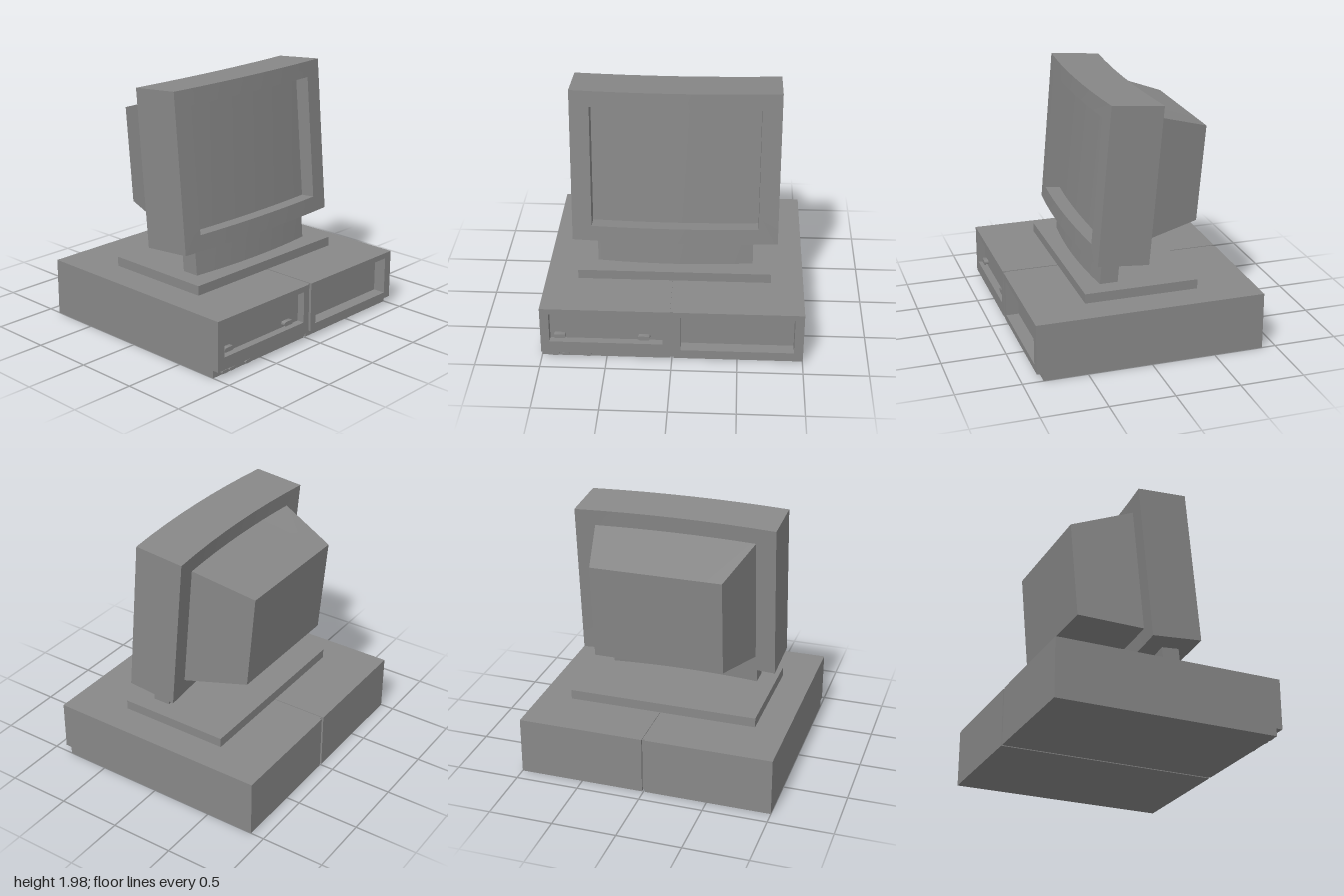
import * as THREE from 'three';
import { toCreasedNormals } from 'three/addons/utils/BufferGeometryUtils.js';

const grey = new THREE.MeshStandardMaterial({ color: 0x888888 });
const STEPS = 8;       // subdivisions across each curved face
const CURVE = 0.065;   // front-to-back sweep of the curved parts

function addMesh(parent, name, geometry, x = 0, y = 0, z = 0) {
  const mesh = new THREE.Mesh(geometry, grey);
  mesh.name = name;
  mesh.position.set(x, y, z);
  parent.add(mesh);
  return mesh;
}

// Lofts through rectangles [x0, x1, y0, y1, z, bend], starting from the back.
function loft(rings, startCap = true, endCap = true) {
  const pos = [];
  const corners = ([x0, x1, y0, y1, z, bend = 0]) =>
    [[x0, y0], [x1, y0], [x1, y1], [x0, y1]].map(([x, y]) => [x, y, z, bend]);
  const mix = (a, b, t) => a.map((v, i) => v + (b[i] - v) * t);
  const put = (p) => pos.push(p[0], p[1], p[2] - p[3] * CURVE * p[0] * p[0]);
  const quad = (a, b, c, d) => {
    const n = a[3] || c[3] ? STEPS : 1;
    for (let i = 0; i < n; i++) {
      const p = mix(a, b, i / n), q = mix(a, b, (i + 1) / n);
      const r = mix(d, c, (i + 1) / n), s = mix(d, c, i / n);
      [p, q, r, p, r, s].forEach(put);
    }
  };
  const loops = rings.map(corners);
  for (let k = 0; k + 1 < loops.length; k++) {
    const A = loops[k], B = loops[k + 1];
    for (let i = 0; i < 4; i++) {
      const j = (i + 1) % 4;
      quad(A[i], A[j], B[j], B[i]);
    }
  }
  if (startCap) { const [a, b, c, d] = loops[0]; quad(b, a, d, c); }
  if (endCap) quad(...loops[loops.length - 1]);
  const geometry = new THREE.BufferGeometry();
  geometry.setAttribute('position', new THREE.Float32BufferAttribute(pos, 3));
  geometry.computeVertexNormals();
  return toCreasedNormals(geometry, 0.2);
}

// Small button with rounded ends, rising towards +z
function pill(w, h, depth) {
  const r = h / 2, s = new THREE.Shape();
  s.absarc(w / 2 - r, 0, r, -Math.PI / 2, Math.PI / 2);
  s.absarc(-w / 2 + r, 0, r, Math.PI / 2, Math.PI * 1.5);
  s.closePath();
  const g = new THREE.ExtrudeGeometry(s, { depth, bevelEnabled: false, curveSegments: 6 });
  return toCreasedNormals(g, 0.7);
}

function box(x0, x1, y0, y1, z0, z1) {
  return new THREE.BoxGeometry(x1 - x0, y1 - y0, z1 - z0)
    .translate((x0 + x1) / 2, (y0 + y1) / 2, (z0 + z1) / 2);
}

function createCabinet() {
  const cabinet = new THREE.Group();
  cabinet.name = 'cabinet';
  // Two halves, each with a recessed front panel and a set-back plinth
  const halves = [
    { name: 'rightHalf', x: [-1, -0.012], panel: [-0.932, -0.07, 0.158, 0.407], depth: 0.06 },
    { name: 'leftHalf', x: [0.012, 1], panel: [0.068, 0.93, 0.11, 0.407], depth: 0.1 },
  ];
  for (const { name, x, panel, depth } of halves) {
    addMesh(cabinet, name, loft([
      [...x, 0.06, 0.452, -0.89],
      [...x, 0.06, 0.452, 0.89],
      [...panel, 0.89],
      [...panel, 0.89 - depth],
    ]));
    addMesh(cabinet, name + 'Plinth', box(...x, 0, 0.06, -0.89, 0.84));
  }
  // Core closing the seam between the halves
  addMesh(cabinet, 'seamCore', box(-0.012, 0.012, 0.006, 0.447, -0.87, 0.83));
  addMesh(cabinet, 'seamCoreFront', box(-0.012, 0.012, 0.06, 0.447, 0.83, 0.87));
  // Controls
  for (const x of [-0.857, -0.212])
    addMesh(cabinet, 'driveButton', pill(0.095, 0.034, 0.035), x, 0.191, 0.83);
  for (const x of [-0.896, -0.819, -0.649])
    addMesh(cabinet, 'plinthButton', pill(0.06, 0.026, 0.02), x, 0.024, 0.84);
  return cabinet;
}

function createMonitor() {
  const monitor = new THREE.Group();
  monitor.name = 'monitor';
  const body = [-0.794, 0.794, -0.004, 1.22];
  const opening = [-0.643, 0.643, 0.121, 1.096];
  const rearOpening = [-0.637, 0.637, 0.118, 1.096];
  // Tapered rear, flat at the back and curved where it meets the body
  addMesh(monitor, 'rearHousing', loft([
    [-0.51, 0.51, 0.232, 0.986, -0.902, 0],
    [...rearOpening, -0.4, 1],
  ], true, false));
  // Curved body with its front frame and the walls of the screen opening
  addMesh(monitor, 'bodyAndBezel', loft([
    [...rearOpening, -0.4, 1],
    [...body, -0.4, 1],
    [...body, 0, 1],
    [...opening, 0, 1],
    [...opening, -0.12, 1],
  ], false, false));
  addMesh(monitor, 'screen', loft([[...opening, -0.12, 1]], false));
  // More strongly curved neck running down into the foot plate
  addMesh(monitor, 'neck', loft([
    [-0.607, 0.607, -0.25, 0.005, -0.238, 1.5],
    [-0.607, 0.607, -0.25, 0.005, -0.098, 1.5],
  ]));
  // Lean the whole monitor back
  monitor.position.set(0, 0.76, 0.4);
  monitor.rotation.x = -THREE.MathUtils.degToRad(5);
  return monitor;
}

export function createModel() {
  const model = new THREE.Group();
  model.name = 'desktopComputer';
  model.add(createCabinet());
  addMesh(model, 'footPlate', box(-0.75, 0.75, 0.452, 0.527, -0.445, 0.445));
  model.add(createMonitor());
  return model;
}
